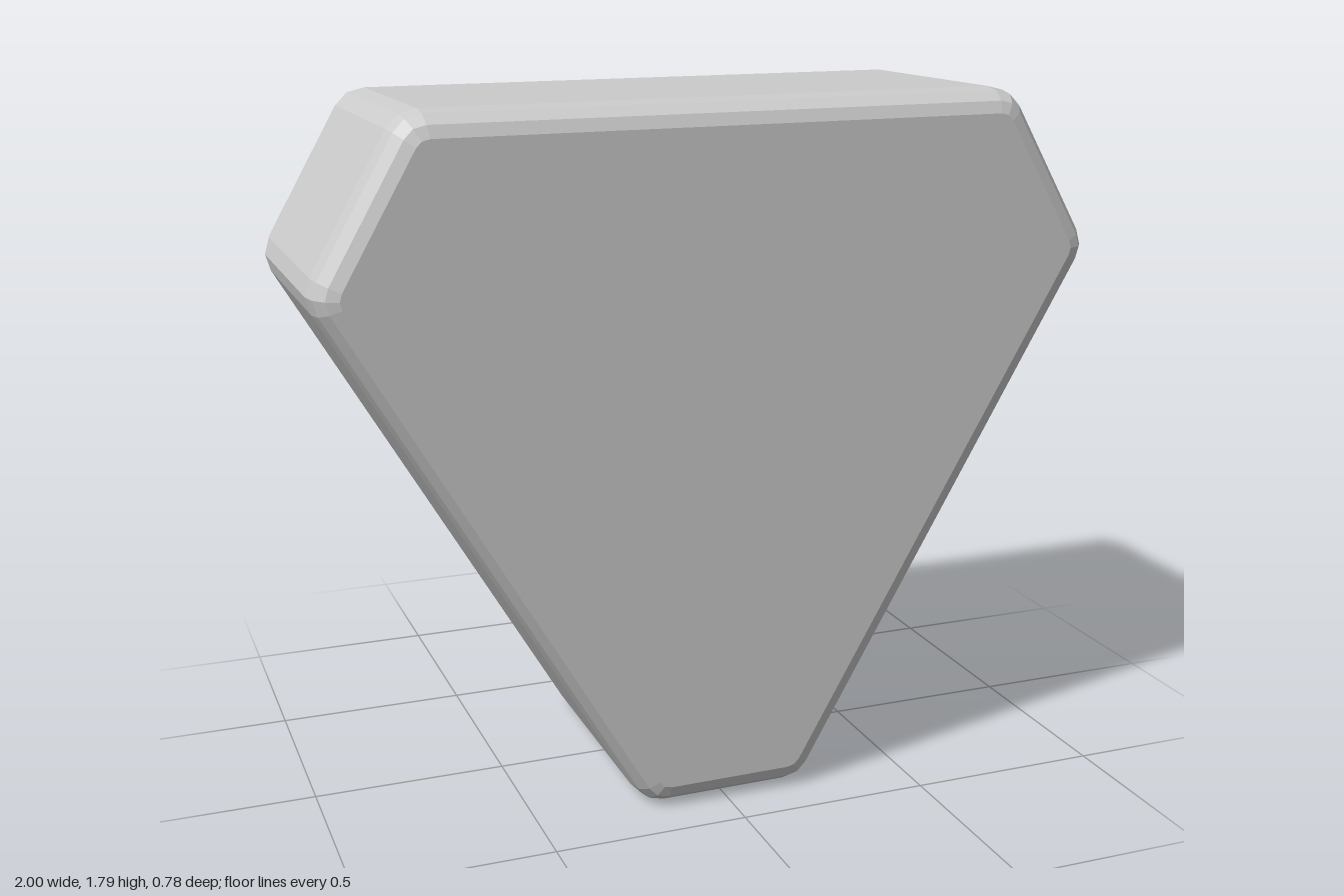
import * as THREE from 'three';

// Outline with each corner cut back by t and replaced by a small curve
function roundedOutline(points, t) {
  const v = points.map(([x, y]) => new THREE.Vector2(x, y));
  const toward = (a, b) => b.clone().sub(a).setLength(t).add(a);
  const shape = new THREE.Shape();
  v.forEach((p, i) => {
    const a = toward(p, v[(i + v.length - 1) % v.length]);
    const b = toward(p, v[(i + 1) % v.length]);
    if (i === 0) shape.moveTo(a.x, a.y);
    else shape.lineTo(a.x, a.y);
    shape.quadraticCurveTo(p.x, p.y, b.x, b.y);
  });
  shape.closePath();
  return shape;
}

export function createModel() {
  const group = new THREE.Group();
  group.name = 'truncatedTriangleBlock';

  // Half of the flat face outline, bottom to top, mirrored to the other side
  const half = [[0.183, 0.062], [0.945, 1.382], [0.743, 1.732]];
  const corners = [...half, ...half.slice().reverse().map(([x, y]) => [-x, y])];

  // Solid block with faceted rounded rims
  const midY = 0.897;
  const geometry = new THREE.ExtrudeGeometry(roundedOutline(corners, 0.022), {
    depth: 0.6,
    curveSegments: 2,
    bevelEnabled: true,
    bevelSize: 0.06,
    bevelThickness: 0.09,
    bevelSegments: 3,
  });
  geometry.translate(0, -midY, -0.3);

  const block = new THREE.Mesh(
    geometry,
    new THREE.MeshStandardMaterial({ color: 0xcccccc, flatShading: true })
  );
  block.name = 'block';
  block.position.y = midY;
  block.rotation.z = 0.005; // very slight lean
  group.add(block);
  return group;
}
